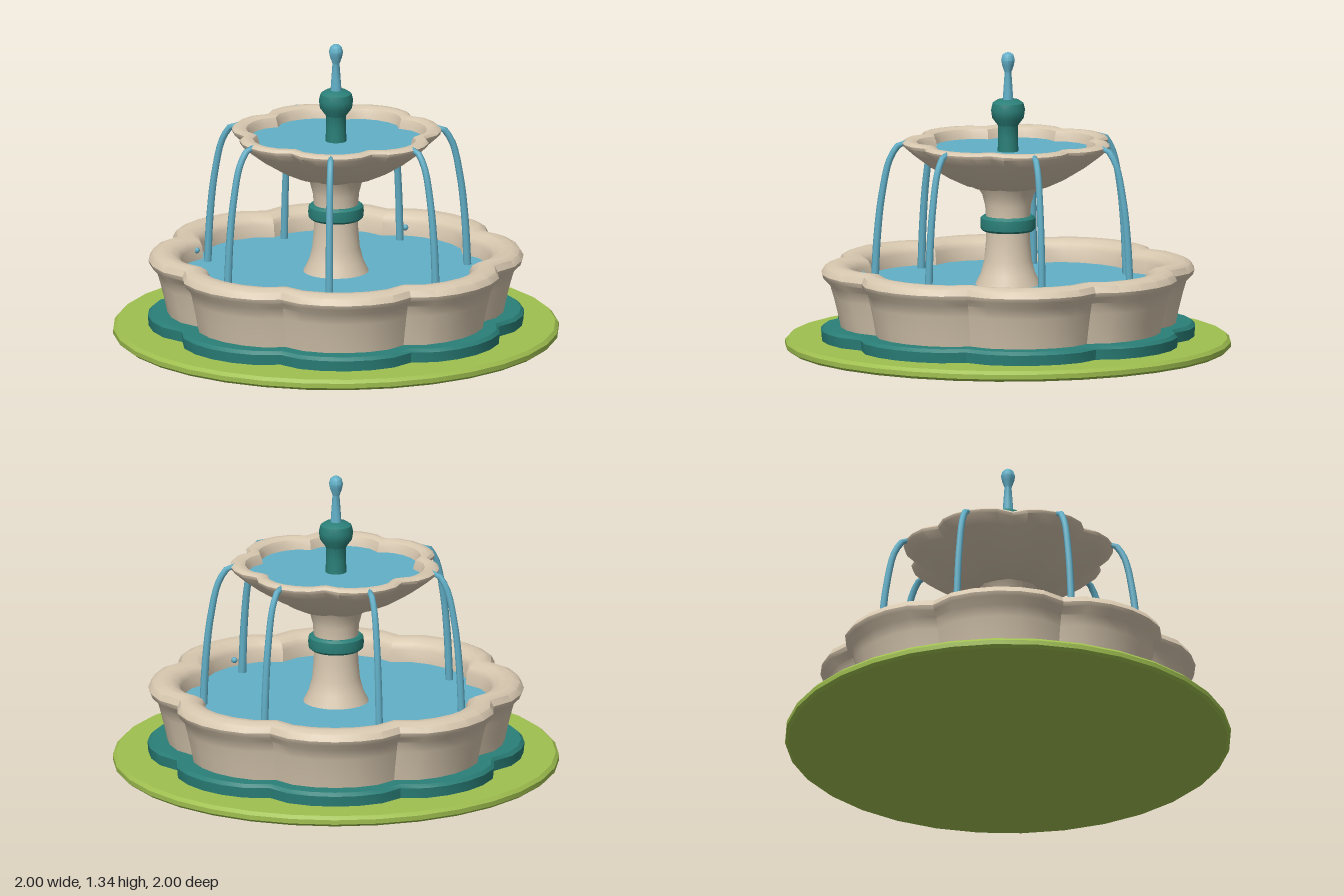
import * as THREE from 'three';
import { toCreasedNormals } from 'three/addons/utils/BufferGeometryUtils.js';

const material = (color) => new THREE.MeshStandardMaterial({ color });
const STONE = material(0xd8c8b0);
const TEAL = material(0x2a7f78);
const WATER = material(0x62b0c8);
const GRASS = material(0xa0c050);

// Turned profile of [radius, height] points; optional lobes scallop its outline.
function turned(name, profile, mat, segments, lobes = 0, depth = 0) {
  const points = profile.map(([r, y]) => new THREE.Vector2(r, y));
  const geometry = new THREE.LatheGeometry(points, segments, Math.PI / 2);
  const p = geometry.attributes.position;
  if (lobes) {
    for (let i = 0; i < p.count; i++) {
      const angle = Math.atan2(p.getZ(i), p.getX(i));
      const swell = Math.pow(Math.abs(Math.cos(angle * lobes / 2)), 0.6);
      const s = 1 - depth * (1 - swell);
      p.setX(i, p.getX(i) * s);
      p.setZ(i, p.getZ(i) * s);
    }
  }
  const mesh = new THREE.Mesh(toCreasedNormals(geometry, 0.65), mat);
  mesh.name = name;
  return mesh;
}

// Arching tube that widens from its start to its end.
function waterStream(angle) {
  const path = new THREE.CatmullRomCurve3(
    [[0.43, 0.915], [0.475, 0.932], [0.525, 0.87], [0.565, 0.7], [0.587, 0.5], [0.598, 0.28]]
      .map(([x, y]) => new THREE.Vector3(x, y, 0)));
  const geometry = new THREE.TubeGeometry(path, 20, 1, 8);
  const p = geometry.attributes.position;
  const v = new THREE.Vector3();
  for (let i = 0; i < p.count; i++) {
    const t = geometry.attributes.uv.getX(i);
    const centre = path.getPointAt(t);
    v.fromBufferAttribute(p, i).sub(centre).multiplyScalar(0.014 + 0.004 * t).add(centre);
    p.setXYZ(i, v.x, v.y, v.z);
  }
  const mesh = new THREE.Mesh(geometry, WATER);
  mesh.name = 'waterStream';
  mesh.rotation.y = -angle;
  return mesh;
}

export function createModel() {
  const fountain = new THREE.Group();
  fountain.name = 'fountain';

  // Lawn and scalloped plinth
  fountain.add(turned('lawn',
    [[0, 0], [0.985, 0], [1, 0.012], [1, 0.033], [0.985, 0.048], [0, 0.048]], GRASS, 32));
  fountain.add(turned('plinth',
    [[0, 0.04], [0.84, 0.04], [0.845, 0.095], [0.83, 0.11], [0, 0.11]], TEAL, 48, 8, 0.09));

  // Lower basin with rolled rim, and its water
  fountain.add(turned('basin', [
    [0.755, 0.1], [0.77, 0.17], [0.79, 0.25], [0.805, 0.3], [0.835, 0.33], [0.842, 0.35],
    [0.825, 0.378], [0.79, 0.392], [0.745, 0.388], [0.71, 0.37], [0.695, 0.345], [0.69, 0.27],
  ], STONE, 48, 8, 0.09));
  fountain.add(turned('basinWater', [[0.7, 0.29], [0, 0.29]], WATER, 48, 8, 0.09));

  // Pedestal and collar
  fountain.add(turned('pedestal', [
    [0.155, 0.26], [0.147, 0.29], [0.122, 0.34], [0.107, 0.4], [0.1, 0.48], [0.098, 0.58],
    [0.104, 0.65], [0.117, 0.7], [0.15, 0.75],
  ], STONE, 24));
  fountain.add(turned('collar', [
    [0.09, 0.532], [0.112, 0.532], [0.123, 0.542], [0.125, 0.566],
    [0.123, 0.59], [0.112, 0.6], [0.09, 0.6],
  ], TEAL, 24));

  // Upper bowl and its water
  fountain.add(turned('bowl', [
    [0, 0.73], [0.12, 0.73], [0.19, 0.738], [0.27, 0.775], [0.36, 0.83], [0.43, 0.882],
    [0.472, 0.918], [0.476, 0.932], [0.462, 0.943], [0.435, 0.945], [0.41, 0.935], [0.4, 0.915],
    [0.39, 0.87],
  ], STONE, 42, 7, 0.12));
  fountain.add(turned('bowlWater', [[0.405, 0.892], [0, 0.892]], WATER, 42, 7, 0.12));

  // Finial with the central jet
  fountain.add(turned('finial', [
    [0.048, 0.87], [0.045, 0.95], [0.046, 1.01], [0.072, 1.045], [0.077, 1.08],
    [0.07, 1.11], [0.048, 1.125], [0, 1.127],
  ], TEAL, 16));
  fountain.add(turned('jet', [
    [0.026, 1.11], [0.021, 1.18], [0.016, 1.25], [0.027, 1.28], [0.032, 1.305],
    [0.026, 1.327], [0.013, 1.338], [0, 1.34],
  ], WATER, 10));

  // Streams falling from each lobe of the bowl, some with a splash drop
  for (let i = 0; i < 7; i++) {
    const angle = i * Math.PI * 2 / 7;
    fountain.add(waterStream(angle));
    if ([0, 1, 3, 5].includes(i)) {
      const drop = new THREE.Mesh(new THREE.SphereGeometry(0.014, 8, 6), WATER);
      drop.name = 'splashDrop';
      drop.position.set(Math.cos(angle) * 0.648, 0.335, Math.sin(angle) * 0.648);
      fountain.add(drop);
    }
  }
  return fountain;
}
